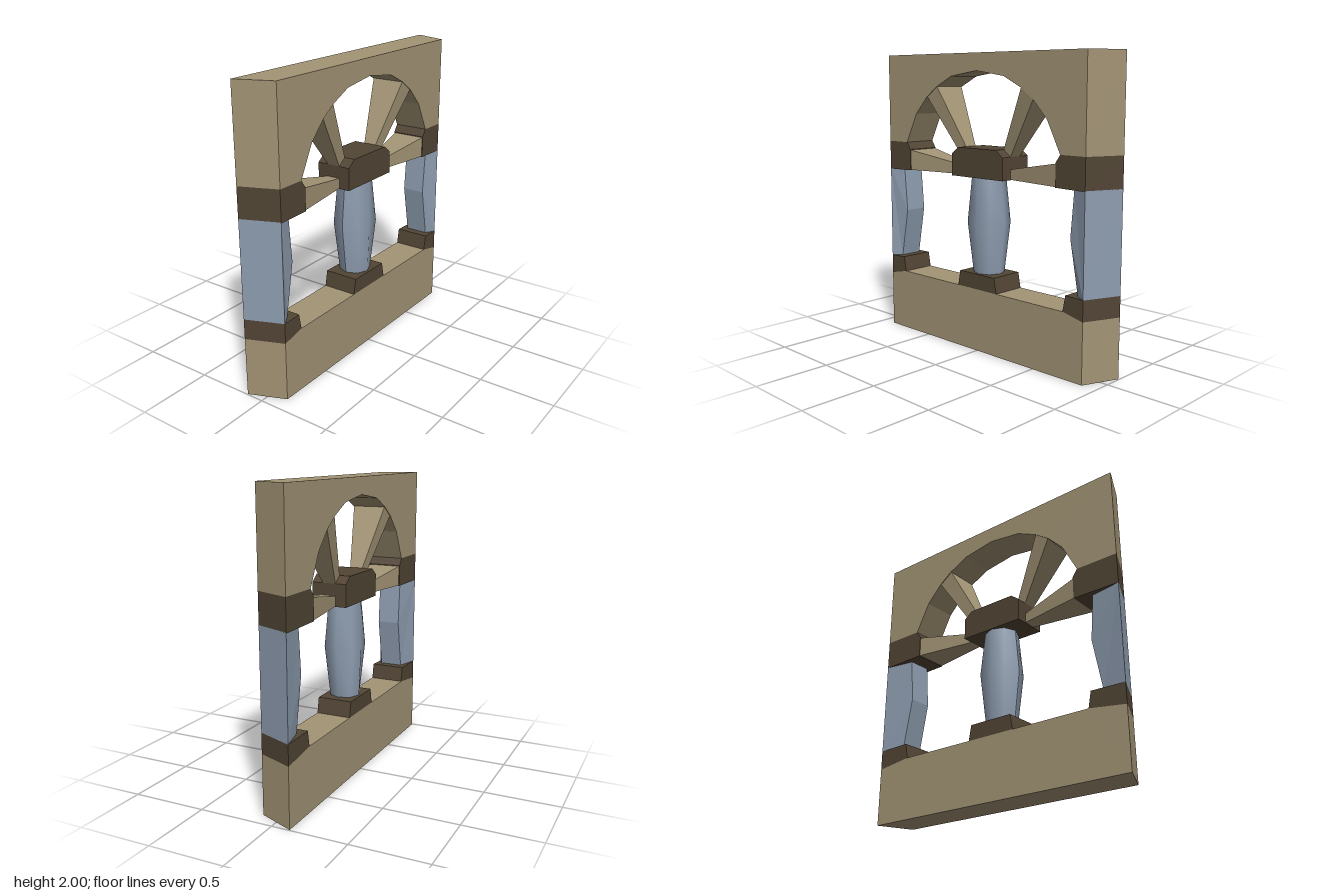
import * as THREE from 'three';

const HALF = 0.12; // half thickness of the panel

export function createModel() {
  const group = new THREE.Group();
  const wood = new THREE.MeshStandardMaterial({ color: 0xa39475 });
  wood.name = 'tan wood';
  const dark = new THREE.MeshStandardMaterial({ color: 0x524535 });
  dark.name = 'dark wood';
  const blue = new THREE.MeshStandardMaterial({ color: 0x8f9eb1 });
  blue.name = 'blue grey stone';

  const add = (name, geometry, material) => {
    const mesh = new THREE.Mesh(geometry, material);
    mesh.name = name;
    group.add(mesh);
  };

  // Extrude a [z, y] outline across x; points on the outer ends follow the mitre.
  // halfAt gives the half thickness at a given distance from the middle.
  const slab = (name, outline, material, side = 1, halfAt = () => HALF) => {
    const shape = new THREE.Shape(outline.map(([z, y]) => new THREE.Vector2(z * side, y)));
    const geo = new THREE.ExtrudeGeometry(shape, { depth: 2 * HALF, bevelEnabled: false });
    geo.rotateY(-Math.PI / 2).translate(HALF, 0, 0);
    const p = geo.attributes.position;
    for (let i = 0; i < p.count; i++) {
      const z = p.getZ(i);
      const x = Math.sign(p.getX(i)) * halfAt(Math.abs(z));
      p.setX(i, x);
      if (Math.abs(z) > 0.89) p.setZ(i, Math.sign(z) * (0.945 - x * 0.05 / HALF));
    }
    geo.computeVertexNormals();
    add(name, geo, material);
  };
  const mirrored = (half) => [...half, ...half.filter(([z]) => z > 0).reverse().map(([z, y]) => [-z, y])];

  // Sill and arched wall
  slab('sill', mirrored([[0.9, 0], [0.9, 0.395], [0.74, 0.43]]), wood);
  slab('archWall', [
    [-0.9, 2], [0.9, 2],
    ...mirrored([[0.9, 1.385], [0.705, 1.385], [0.6, 1.59], [0.485, 1.71], [0.385, 1.78], [0.24, 1.85], [0, 1.885]]),
  ], wood);

  // Middle column with its base and capital
  slab('middleBase', mirrored([[0.18, 0.43], [0.16, 0.535]]), dark);
  slab('middleCapital', mirrored([[0.235, 1.185], [0.235, 1.335], [0.175, 1.38]]), dark);
  const column = new THREE.LatheGeometry(
    [[0.105, 0.535], [0.145, 0.88], [0.115, 1.185]].map(([r, y]) => new THREE.Vector2(r, y)), 8);
  const p = column.attributes.position;
  for (let i = 0; i < p.count; i++) p.setX(i, THREE.MathUtils.clamp(p.getX(i), -HALF, HALF));
  column.computeVertexNormals();
  add('middleColumn', column, blue);

  for (const side of [1, -1]) {
    // Half columns at the mitred ends
    slab('endBase', [[0.9, 0.395], [0.74, 0.43], [0.76, 0.535], [0.9, 0.53]], dark, side);
    slab('endColumn', [[0.9, 0.53], [0.825, 0.53], [0.76, 0.88], [0.785, 1.185], [0.9, 1.185]], blue, side,
      (z) => (z > 0.89 ? HALF : 0.08));
    slab('endCapital', [[0.9, 1.18], [0.67, 1.185], [0.67, 1.335], [0.705, 1.385], [0.9, 1.385]], dark, side);

    // Spokes widening from the middle capital outwards
    const taper = (z) => (z < 0.3 ? 0.045 : 0.115);
    slab('upperSpoke', [[0.235, 1.335], [0.485, 1.71], [0.385, 1.78], [0.175, 1.38]], wood, side, taper);
    slab('lowerSpoke', [[0.235, 1.188], [0.67, 1.188], [0.67, 1.33], [0.235, 1.255]], wood, side, taper);
  }
  return group;
}
